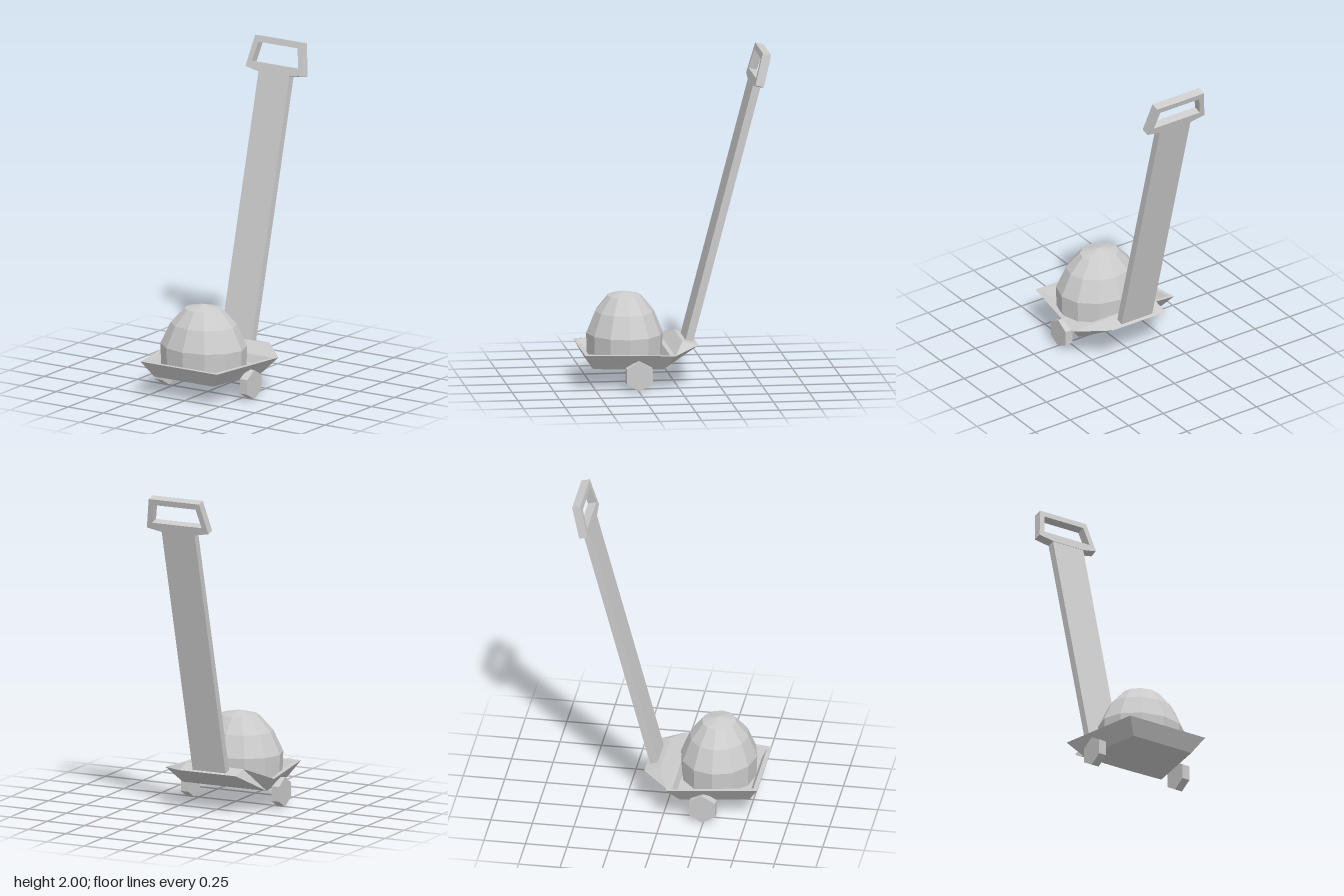
import * as THREE from 'three';

const material = new THREE.MeshStandardMaterial({ color: 0xcccccc, flatShading: true });

function addMesh(parent, name, geometry) {
  const mesh = new THREE.Mesh(geometry, material);
  mesh.name = name;
  parent.add(mesh);
  return mesh;
}

// Flat polygons (counter-clockwise corners) to a faceted geometry
function facets(polygons) {
  const positions = [];
  for (const p of polygons) {
    for (let i = 1; i < p.length - 1; i++) positions.push(...p[0], ...p[i], ...p[i + 1]);
  }
  const geometry = new THREE.BufferGeometry();
  geometry.setAttribute('position', new THREE.Float32BufferAttribute(positions, 3));
  geometry.computeVertexNormals();
  return geometry;
}

// Level trapezoid, counter-clockwise from above
const trapezoid = (y, frontX, frontZ, backX, backZ) => [
  [frontX, y, frontZ], [backX, y, backZ], [-backX, y, backZ], [-frontX, y, frontZ],
];

function trayGeometry() {
  const loops = [
    trapezoid(0.12, 0.21, 0.51, 0.28, 0.10), // underside
    trapezoid(0.215, 0.272, 0.565, 0.362, 0.035), // outer rim
    trapezoid(0.215, 0.242, 0.54, 0.335, 0.063), // inner rim
    trapezoid(0.17, 0.215, 0.515, 0.305, 0.083), // recessed floor
  ];
  const faces = [[...loops[0]].reverse(), loops[3]];
  for (let k = 0; k < 3; k++) {
    for (let i = 0; i < 4; i++) {
      const j = (i + 1) % 4;
      faces.push([loops[k][i], loops[k][j], loops[k + 1][j], loops[k + 1][i]]);
    }
  }
  return facets(faces);
}

// Wedge rising from the back of the tray to the foot of the pole
function wedgeGeometry() {
  const pair = (x, y, z) => [[x, y, z], [-x, y, z]];
  const [r, R] = pair(0.362, 0.215, 0.035);
  const [t, T] = pair(0.19, 0.27, -0.03);
  const [e, E] = pair(0.19, 0.245, -0.127);
  const [b, B] = pair(0.28, 0.12, 0.10);
  return facets([
    [r, t, T, R], [t, e, E, T], [e, b, B, E], // ramp, top, underside
    [r, b, e], [r, e, t], // left side
    [R, T, B], [T, E, B], // right side
  ]);
}

// Grip plate with a trapezoid hole and a flared neck
function gripGeometry(depth) {
  const shape = new THREE.Shape([
    [-0.11, 1.588], [0.11, 1.588], [0.205, 1.607], [0.168, 1.8], [-0.168, 1.8], [-0.205, 1.607],
  ].map(([x, y]) => new THREE.Vector2(x, y)));
  shape.holes.push(new THREE.Path([
    [-0.165, 1.643], [-0.14, 1.763], [0.14, 1.763], [0.165, 1.643],
  ].map(([x, y]) => new THREE.Vector2(x, y))));
  const geometry = new THREE.ExtrudeGeometry(shape, { depth, bevelEnabled: false });
  return geometry.translate(0, 0, -depth / 2);
}

export function createModel() {
  const model = new THREE.Group();
  model.name = 'pushMachine';

  addMesh(model, 'tray', trayGeometry());
  addMesh(model, 'poleMount', wedgeGeometry());

  // Faceted dome, slightly squashed front to back
  const profile = [[0.265, 0.17], [0.27, 0.3], [0.207, 0.43], [0.12, 0.522], [0, 0.55]]
    .map(([x, y]) => new THREE.Vector2(x, y));
  const dome = addMesh(model, 'dome', new THREE.LatheGeometry(profile, 12));
  dome.scale.z = 0.85;
  dome.position.z = 0.293;

  // Six-sided wheels
  for (const side of [1, -1]) {
    const geometry = new THREE.CylinderGeometry(0.09, 0.09, 0.05, 6, 1, false, Math.PI / 6);
    geometry.rotateZ(Math.PI / 2);
    const wheel = addMesh(model, side > 0 ? 'leftWheel' : 'rightWheel', geometry);
    wheel.position.set(side * 0.303, 0.09, 0.245);
  }

  // Handle leaning backwards
  const handle = new THREE.Group();
  handle.name = 'handle';
  handle.position.set(0, 0.252, -0.081);
  handle.rotation.x = -0.258;
  model.add(handle);
  const pole = addMesh(handle, 'pole', new THREE.BoxGeometry(0.22, 1.6, 0.047));
  pole.position.y = 0.793;
  addMesh(handle, 'grip', gripGeometry(0.052));

  return model;
}
